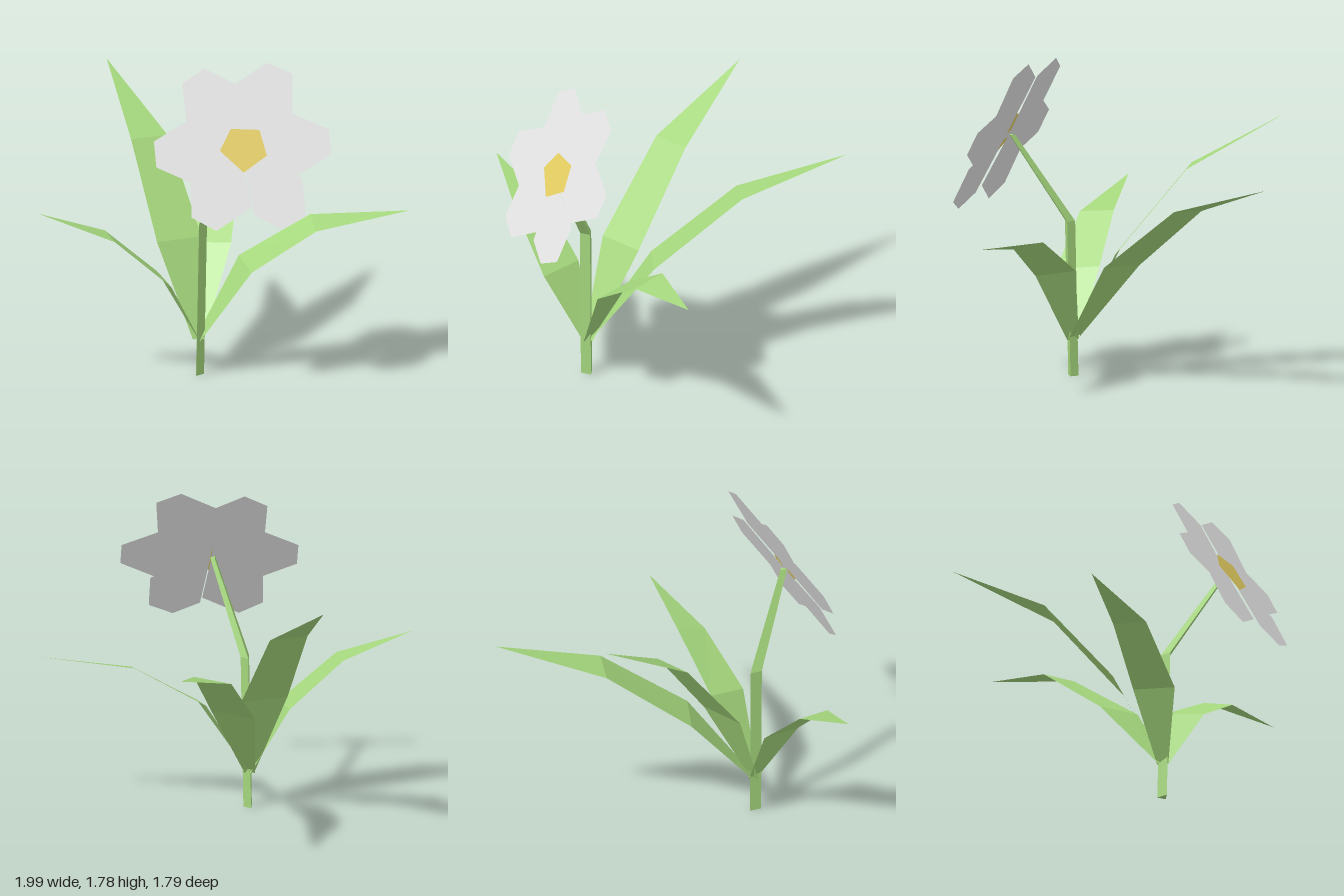
import * as THREE from 'three';

const leafGreen = new THREE.MeshStandardMaterial({ color: 0xa4d67c, side: THREE.DoubleSide });
const petalWhite = new THREE.MeshStandardMaterial({ color: 0xe4e4e4, side: THREE.DoubleSide });
const centreYellow = new THREE.MeshStandardMaterial({ color: 0xe4ce62, side: THREE.DoubleSide });
for (const [material, name] of [[leafGreen, 'leaf green'], [petalWhite, 'petal white'], [centreYellow, 'centre yellow']]) {
  material.name = name;
}

// Flat-shaded mesh from a list of polygons, each cut into a fan of triangles
function facetMesh(name, polygons, material) {
  const positions = [];
  for (const p of polygons) {
    for (let i = 1; i < p.length - 1; i++) positions.push(...p[0], ...p[i], ...p[i + 1]);
  }
  const geometry = new THREE.BufferGeometry();
  geometry.setAttribute('position', new THREE.Float32BufferAttribute(positions, 3));
  geometry.computeVertexNormals();
  const mesh = new THREE.Mesh(geometry, material);
  mesh.name = name;
  return mesh;
}

// Three-sided stem that bends forward to the flower
function makeStem() {
  const corners = [[-0.027, 0.027], [0.03, 0.007], [0, -0.033]];
  const ring = (x, y, z, s) => corners.map(([dx, dz]) => [x + dx * s, y, z + dz * s]);
  const rings = [ring(-0.12, 0, 0.293, 1), ring(-0.11, 0.86, 0.31, 1), ring(-0.035, 1.345, 0.618, 0.6)];
  const faces = [[...rings[0]].reverse(), rings[2]];
  for (let r = 0; r < 2; r++) {
    for (let i = 0; i < 3; i++) {
      const j = (i + 1) % 3;
      faces.push([rings[r][i], rings[r][j], rings[r + 1][j], rings[r + 1][i]]);
    }
  }
  return facetMesh('stem', faces, leafGreen);
}

// Folded leaf: narrow foot, two cross-sections and a pointed tip
function makeLeaf(name, [a1, b1], [a2, b2], tip) {
  const across = new THREE.Vector3(...b1).sub(new THREE.Vector3(...a1)).setLength(0.033);
  const foot = new THREE.Vector3(-0.12, 0.2, 0.29);
  const a0 = foot.clone().sub(across).toArray();
  const b0 = foot.clone().add(across).toArray();
  return facetMesh(name, [[a0, b0, b1, a1], [a1, b1, b2, a2], [a2, b2, tip]], leafGreen);
}

// Places an outline point on the tilted plane of the flower
const onFlower = (lift) => ([x, y]) => [x, y, 0.64 + lift + 0.32 * (x + 0.03) - 0.52 * (y - 1.34)];

function makeFlower() {
  const flower = new THREE.Group();
  flower.name = 'flower';
  // Side, two tip corners, side; clockwise from the upper petal
  const petals = [
    [[-0.01, 1.67], [0.2, 1.78], [0.32, 1.72], [0.27, 1.49]],
    [[0.28, 1.52], [0.455, 1.435], [0.44, 1.31], [0.22, 1.2]],
    [[0.26, 1.2], [0.235, 1.01], [0.1, 0.95], [-0.03, 1.02]],
    [[-0.03, 1.06], [-0.24, 0.95], [-0.355, 1.02], [-0.32, 1.22]],
    [[-0.31, 1.19], [-0.49, 1.28], [-0.475, 1.41], [-0.25, 1.52]],
    [[-0.28, 1.5], [-0.26, 1.69], [-0.13, 1.76], [0.01, 1.68]],
  ];
  petals.forEach((outline, i) => {
    const polygon = [[-0.03, 1.34], ...outline].reverse().map(onFlower(i % 2 ? -0.005 : 0.008));
    flower.add(facetMesh('petal', [polygon], petalWhite));
  });
  const centre = [[-0.144, 1.353], [-0.043, 1.24], [0.096, 1.32], [0.085, 1.45], [-0.064, 1.46]];
  flower.add(facetMesh('flowerCentre', [centre.map(onFlower(0.016))], centreYellow));
  return flower;
}

export function createModel() {
  const model = new THREE.Group();
  model.name = 'floweringPlant';
  model.add(
    makeStem(),
    makeLeaf('rightLeaf',
      [[-0.34, 0.55, 0.41], [-0.31, 0.575, 0.17]],
      [[-0.64, 0.82, 0.32], [-0.61, 0.835, 0.13]], [-1, 0.97, 0.1]),
    makeLeaf('backLeaf',
      [[-0.25, 0.7, 0.04], [0.02, 0.7, 0.04]],
      [[-0.22, 1.18, -0.35], [0, 1.18, -0.35]], [-0.11, 1.49, -0.89]),
    makeLeaf('backLeftLeaf',
      [[-0.01, 0.64, -0.09], [0.18, 0.655, 0.08]],
      [[0.27, 1, -0.47], [0.44, 1.02, -0.34]], [0.72, 1.2, -0.88]),
    makeLeaf('leftLeaf',
      [[0.15, 0.63, 0.24], [0.12, 0.59, 0.465]],
      [[0.52, 0.85, 0.37], [0.475, 0.8, 0.54]], [0.99, 0.885, 0.65]),
    makeFlower(),
  );
  return model;
}
